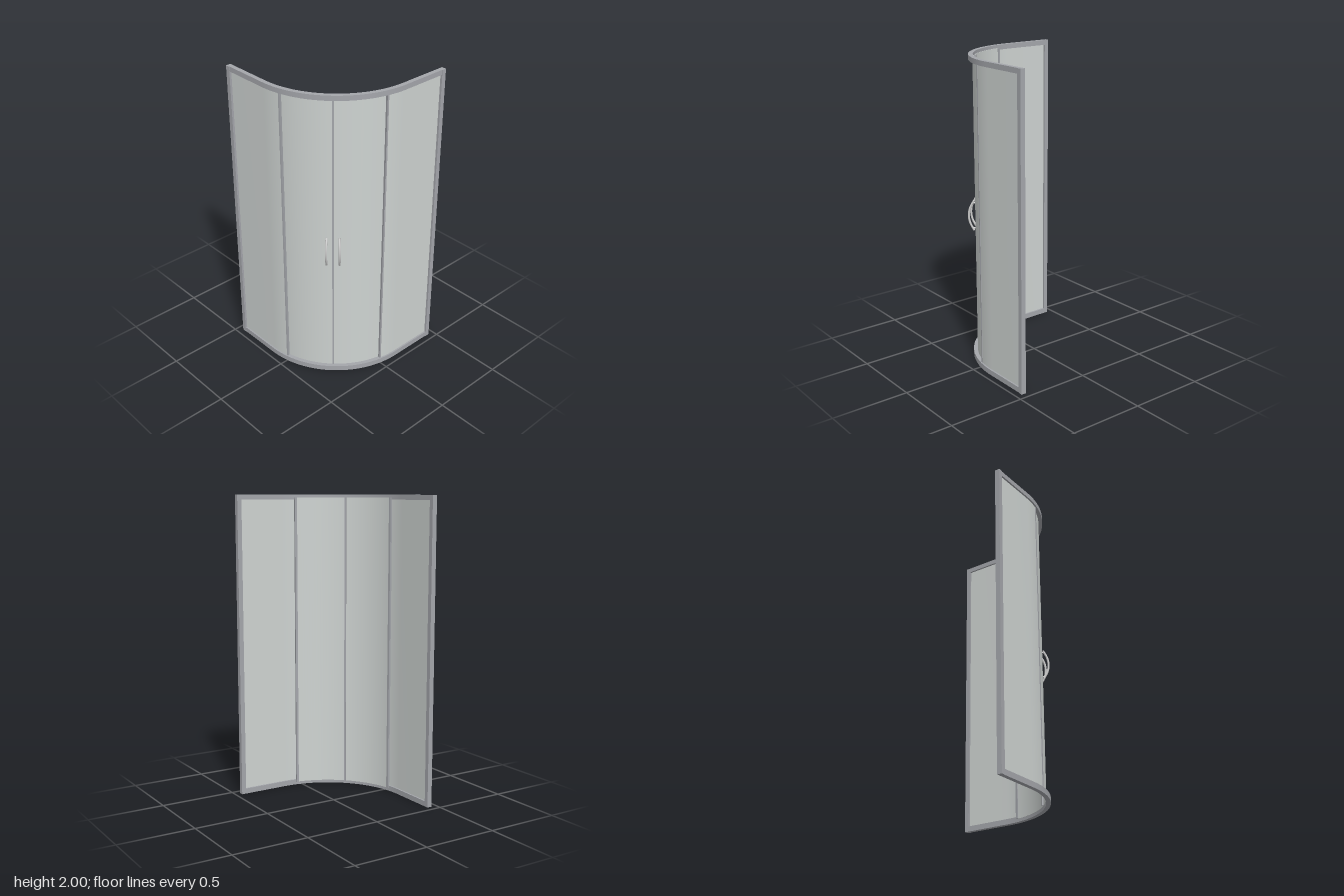
import * as THREE from 'three';
import { toCreasedNormals } from 'three/addons/utils/BufferGeometryUtils.js';

const C = -0.13;          // x and z of the centre of the curved corner
const END = -0.445;       // where the straight runs meet the wall profiles
const RAD = Math.PI / 180;

// Plan line at radius r from angle a0 to a1 (0 = front, 90 = left side),
// with optional straight runs at either end.
function planLine(r, a0, a1, startRun, endRun) {
  const pts = [];
  if (startRun) pts.push([END, C + r]);
  const n = Math.max(2, Math.ceil((a1 - a0) / 2));
  for (let i = 0; i <= n; i++) {
    const a = (a0 + (a1 - a0) * i / n) * RAD;
    pts.push([C + r * Math.sin(a), C + r * Math.cos(a)]);
  }
  if (endRun) pts.push([C + r, END]);
  return pts.map(([x, z]) => new THREE.Vector2(x, -z));
}

// Upright wall following the plan line between two radii
function wall(r0, r1, a0, a1, y0, y1, startRun = false, endRun = false) {
  const outline = [
    ...planLine(r1, a0, a1, startRun, endRun),
    ...planLine(r0, a0, a1, startRun, endRun).reverse(),
  ];
  const geo = new THREE.ExtrudeGeometry(new THREE.Shape(outline), { depth: y1 - y0, bevelEnabled: false });
  geo.rotateX(-Math.PI / 2).translate(0, y0, 0);
  return toCreasedNormals(geo, 30 * RAD);
}

export function createModel() {
  const group = new THREE.Group();
  const frameMat = new THREE.MeshStandardMaterial({ color: 0xa4a6ab });
  const glassMat = new THREE.MeshStandardMaterial({ color: 0xced3d1 });
  const metalMat = new THREE.MeshStandardMaterial({ color: 0xcccccc });
  const add = (name, geo, mat, parent = group) => {
    const mesh = new THREE.Mesh(geo, mat);
    mesh.name = name;
    parent.add(mesh);
    return mesh;
  };

  // Rails
  add('bottomRail', wall(0.558, 0.587, 0, 90, 0, 0.035, true, true), frameMat);
  add('topRail', wall(0.558, 0.587, 0, 90, 1.968, 2, true, true), frameMat);

  // Wall profiles at both open ends
  const profile = new THREE.BoxGeometry(0.03, 2, 0.032);
  add('rightWallProfile', profile, frameMat).position.set(-0.445, 1, 0.444);
  const leftProfile = add('leftWallProfile', profile, frameMat);
  leftProfile.position.set(0.444, 1, -0.445);
  leftProfile.rotation.y = Math.PI / 2;

  // Fixed panels on the outside, sliding doors on the inside
  const low = 0.02, high = 1.98;
  add('rightFixedPanel', wall(0.57, 0.576, 0, 12.5, low, high, true, false), glassMat);
  add('leftFixedPanel', wall(0.57, 0.576, 77.5, 90, low, high, false, true), glassMat);
  add('rightDoor', wall(0.555, 0.561, 9.5, 44.6, low, high), glassMat);
  add('leftDoor', wall(0.555, 0.561, 45.4, 80.5, low, high), glassMat);

  // Upright seals
  for (const [side, flip] of [['right', false], ['left', true]]) {
    const seal = (name, r0, r1, a0, a1) =>
      add(side + name, flip ? wall(r0, r1, 90 - a1, 90 - a0, low, high) : wall(r0, r1, a0, a1, low, high), frameMat);
    seal('PanelSeal', 0.562, 0.579, 11.9, 12.9);
    seal('DoorSeal', 0.549, 0.563, 9.2, 10.8);
  }
  add('centreSeal', wall(0.546, 0.565, 44.4, 45.6, low, high), frameMat);

  // Bowed handles with short posts, drawn outward along +z
  const bow = new THREE.CatmullRomCurve3([-1, -0.5, 0, 0.5, 1].map(
    t => new THREE.Vector3(0, 0.945 + 0.1 * t, 0.607 - 0.034 * t * t)));
  const grip = new THREE.TubeGeometry(bow, 24, 0.007, 12);
  for (const [name, angle] of [['rightHandle', 41], ['leftHandle', 49]]) {
    const handle = new THREE.Group();
    handle.name = name;
    handle.position.set(C, 0, C);
    handle.rotation.y = angle * RAD;
    add('grip', grip, metalMat, handle);
    for (const t of [-1, 1]) {
      const tip = bow.getPoint((t + 1) / 2);
      const tangent = bow.getTangent((t + 1) / 2).multiplyScalar(t);
      const cap = add('gripCap', new THREE.CircleGeometry(0.007, 12), metalMat, handle);
      cap.position.copy(tip);
      cap.quaternion.setFromUnitVectors(new THREE.Vector3(0, 0, 1), tangent);
      const post = add('post', new THREE.CylinderGeometry(0.005, 0.005, 0.024, 12), metalMat, handle);
      post.rotation.x = Math.PI / 2;
      post.position.set(0, 0.945 + 0.085 * t, 0.571);
    }
    group.add(handle);
  }
  return group;
}
